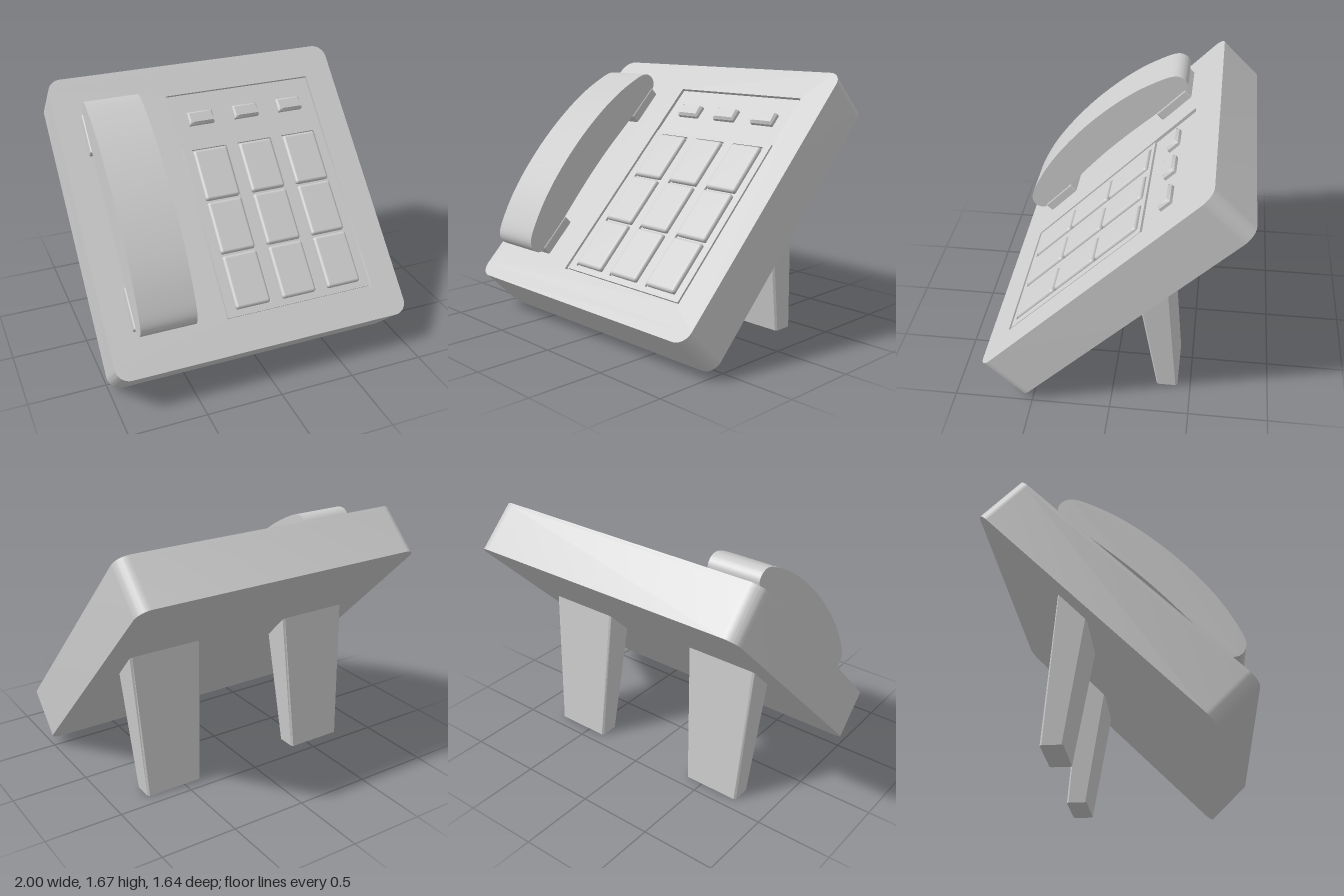
import * as THREE from 'three';
import { toCreasedNormals } from 'three/addons/utils/BufferGeometryUtils.js';
import { RoundedBoxGeometry } from 'three/addons/geometries/RoundedBoxGeometry.js';

const material = new THREE.MeshStandardMaterial({ color: 0xcccccc });

function add(parent, name, geometry, x = 0, y = 0, z = 0) {
  const mesh = new THREE.Mesh(geometry, material);
  mesh.name = name;
  mesh.position.set(x, y, z);
  parent.add(mesh);
  return mesh;
}

// Rounded rectangle between two corners
function roundRect(target, x0, y0, x1, y1, r) {
  target.moveTo(x0 + r, y0);
  target.lineTo(x1 - r, y0);
  target.absarc(x1 - r, y0 + r, r, -Math.PI / 2, 0);
  target.lineTo(x1, y1 - r);
  target.absarc(x1 - r, y1 - r, r, 0, Math.PI / 2);
  target.lineTo(x0 + r, y1);
  target.absarc(x0 + r, y1 - r, r, Math.PI / 2, Math.PI);
  target.lineTo(x0, y0 + r);
  target.absarc(x0 + r, y0 + r, r, Math.PI, Math.PI * 1.5);
  return target;
}

function extrude(shape, depth, options = {}) {
  const geometry = new THREE.ExtrudeGeometry(shape, { depth, bevelEnabled: false, curveSegments: 8, ...options });
  return toCreasedNormals(geometry, 0.6);
}

// Profile given as (forward, up) points, extruded sideways and centred on x
function sideways(points, width, bevel) {
  const shape = new THREE.Shape(points.map(([f, u]) => new THREE.Vector2(-f, u)));
  return new THREE.ExtrudeGeometry(shape, {
    depth: width - 2 * bevel, bevelEnabled: bevel > 0, bevelSize: bevel,
    bevelThickness: bevel, bevelOffset: -bevel, bevelSegments: 1,
  }).translate(0, 0, -(width / 2 - bevel)).rotateY(Math.PI / 2);
}

// Tapered support leg, wider toward the body, cut flat at the ground
function legGeometry() {
  const geometry = sideways([[-0.281, -0.03], [-0.14, 0.86], [-0.325, 1.06], [-0.417, -0.03]], 0.39, 0.012);
  const p = geometry.attributes.position;
  for (let i = 0; i < p.count; i++) {
    const y = Math.max(0, p.getY(i));
    p.setXYZ(i, p.getX(i) * (1 + 0.27 * y), y, p.getZ(i));
  }
  geometry.computeVertexNormals();
  return geometry;
}

// Curved handset: bowed back, blunt rounded ends, gently arched underside
function handsetGeometry() {
  const curve = new THREE.CatmullRomCurve3([
    [0.322, 0], [0.297, 0.35], [0.245, 0.58], [0.18, 0.735], [0.13, 0.763], [0.085, 0.757],
    [0.056, 0.725], [0.056, 0.66], [0.064, 0.44], [0.078, 0.2], [0.083, 0],
    [0.078, -0.2], [0.064, -0.44], [0.056, -0.66], [0.056, -0.725], [0.085, -0.757],
    [0.13, -0.763], [0.18, -0.735], [0.245, -0.58], [0.297, -0.35],
  ].map(([n, u]) => new THREE.Vector3(n, u, 0)), true, 'centripetal');
  const outline = curve.getPoints(120).slice(0, -1).map((p) => [p.x, p.y]);
  return toCreasedNormals(sideways(outline, 0.36, 0), 0.6);
}

export function createModel() {
  const model = new THREE.Group();
  model.name = 'deskTelephone';

  // Tilted group: y runs up the sloping face, z points out of it
  const body = new THREE.Group();
  body.name = 'tiltedBody';
  body.position.set(0, 0.96, 0.1225);
  body.rotation.x = -0.777;
  model.add(body);

  // Slab with a shallow recess for the controls
  const outline = () => roundRect(new THREE.Shape(), -1, -0.995, 1, 0.995, 0.09);
  add(body, 'baseSlab', extrude(outline(), 0.32), 0, 0, -0.34);
  const face = outline();
  face.holes.push(roundRect(new THREE.Path(), -0.24, -0.778, 0.803, 0.773, 0.006));
  add(body, 'facePlate', extrude(face, 0.02), 0, 0, -0.02);

  // Keypad panel with a well for each column of keys
  const columns = [-0.04, 0.285, 0.61];
  const panel = roundRect(new THREE.Shape(), -0.225, -0.765, 0.787, 0.4, 0.004);
  for (const x of columns) {
    panel.holes.push(roundRect(new THREE.Path(), x - 0.126, -0.732, x + 0.126, 0.372, 0.012));
  }
  add(body, 'keypadPanel', extrude(panel, 0.016), 0, 0, -0.02);

  // Keys and function buttons
  const keyGeometry = new RoundedBoxGeometry(0.24, 0.352, 0.044, 3, 0.02);
  const buttonShape = roundRect(new THREE.Shape(), -0.088, -0.046, 0.088, 0.046, 0.006);
  const buttonGeometry = extrude(buttonShape, 0.02, {
    bevelEnabled: true, bevelSize: 0.014, bevelThickness: 0.018, bevelOffset: -0.014, bevelSegments: 1,
  });
  for (const x of columns) {
    for (let row = 0; row < 3; row++) add(body, 'key', keyGeometry, x, 0.188 - row * 0.367, -0.006);
    add(body, 'functionButton', buttonGeometry, x, 0.59, -0.02);
  }

  // Handset resting on two cradle pads
  add(body, 'handset', handsetGeometry(), -0.65);
  const padGeometry = new RoundedBoxGeometry(0.374, 0.27, 0.08, 2, 0.012);
  for (const side of [-1, 1]) add(body, 'cradlePad', padGeometry, -0.652, side * 0.577, 0.025);

  // Rear support legs
  const leg = legGeometry();
  for (const side of [-1, 1]) add(model, 'supportLeg', leg, side * 0.57);

  return model;
}
